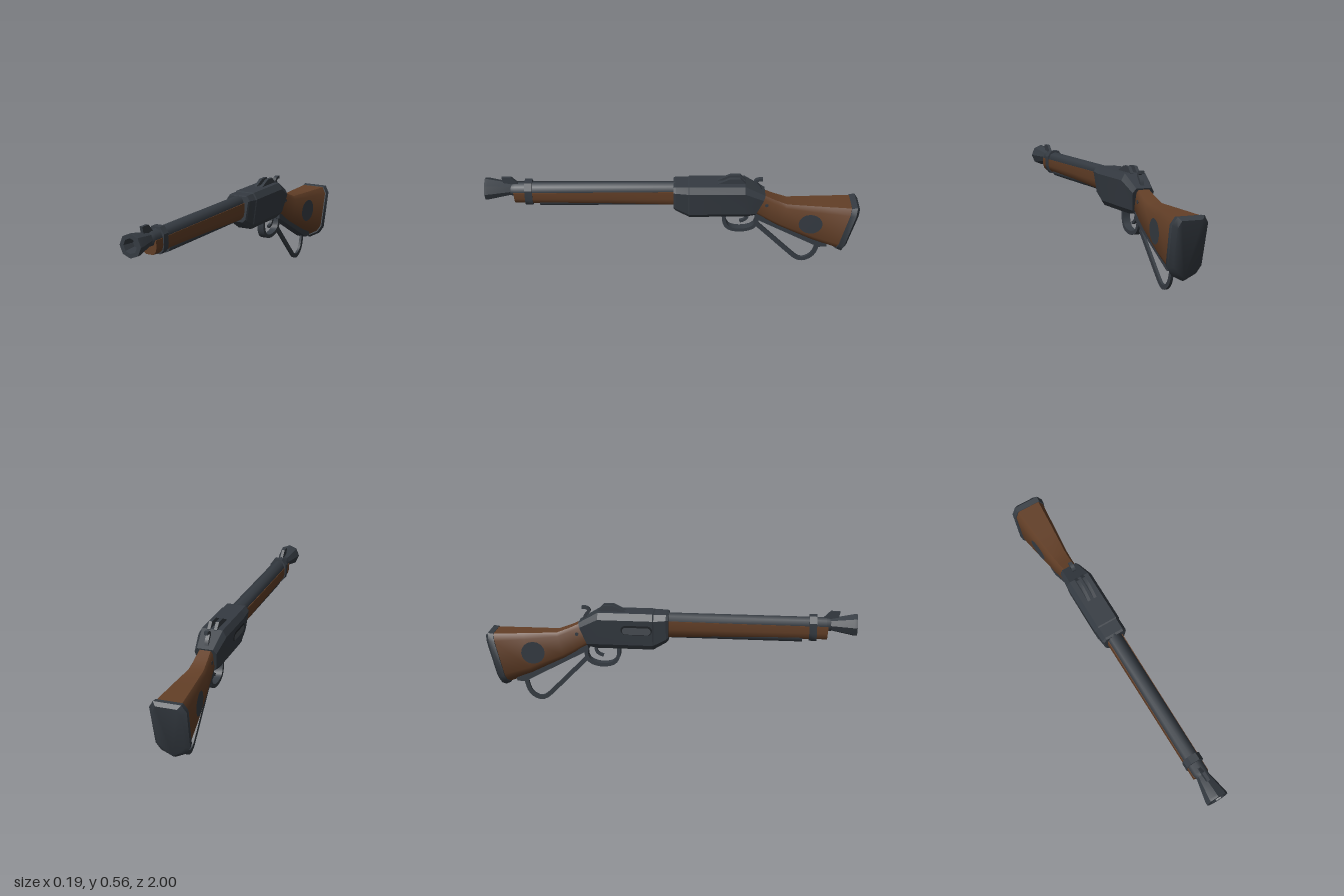
import * as THREE from 'three';
import { toCreasedNormals } from 'three/addons/utils/BufferGeometryUtils.js';

const paint = (name, color) => Object.assign(new THREE.MeshStandardMaterial({ color }), { name });

export function createModel() {
  const model = new THREE.Group();
  model.name = 'leverActionCarbine';
  const metal = paint('gunmetal', 0x353b42);
  const wood = paint('walnut', 0x633f27);
  const steel = paint('boltSteel', 0x4b5157);
  const dark = paint('darkRecess', 0x22262a);

  function add(name, geometry, material, crease = 0.6) {
    const mesh = new THREE.Mesh(toCreasedNormals(geometry, crease), material);
    mesh.name = name;
    model.add(mesh);
    return mesh;
  }

  // Skin mirrored cross-sections, from front to back.
  // profile: [x, t] from bottom to top; station: [zTop, yTop, zBottom, yBottom, xScale]
  function loft(profile, stations) {
    const ring = [...profile, ...profile.map(([x, t]) => [-x, t]).reverse()];
    const n = ring.length, pos = [], index = [];
    for (const [zt, yt, zb, yb, w] of stations) {
      for (const [x, t] of ring) pos.push(x * w, yb + (yt - yb) * t, zb + (zt - zb) * t);
    }
    for (let i = 0; i < stations.length - 1; i++) {
      for (let j = 0; j < n; j++) {
        const a = i * n + j, b = i * n + (j + 1) % n;
        index.push(a, a + n, b, b, a + n, b + n);
      }
    }
    const last = (stations.length - 1) * n;
    for (let j = 1; j < n - 1; j++) {
      index.push(0, j, j + 1, last, last + j + 1, last + j);
    }
    const g = new THREE.BufferGeometry();
    g.setAttribute('position', new THREE.Float32BufferAttribute(pos, 3));
    g.setIndex(index);
    return g;
  }

  // Turned part along z; points are [radius, z]
  function turned(points, y, sides = 8) {
    return new THREE.LatheGeometry(points.map(([r, z]) => new THREE.Vector2(r, z)), sides)
      .rotateX(Math.PI / 2).translate(0, y, 0);
  }

  // Side outline in [z, y], given a thickness across x
  function plate(points, width, x = 0) {
    const shape = new THREE.Shape(points.map(([z, y]) => new THREE.Vector2(z, y)));
    return new THREE.ExtrudeGeometry(shape, { depth: width, bevelEnabled: false })
      .rotateY(-Math.PI / 2).translate(x + width / 2, 0, 0);
  }

  // Bent strap following a curve in the side plane
  function strap(points, thickness, width) {
    const curve = new THREE.SplineCurve(points.map(([z, y]) => new THREE.Vector2(z, y)));
    const upper = [], lower = [];
    for (let i = 0; i <= 20; i++) {
      const p = curve.getPoint(i / 20), d = curve.getTangent(i / 20);
      const ox = -d.y * thickness / 2, oy = d.x * thickness / 2;
      upper.push([p.x + ox, p.y + oy]);
      lower.unshift([p.x - ox, p.y - oy]);
    }
    return plate([...upper, ...lower], width);
  }

  // Flat inlay laid on a side wall whose half width is xOf(z, y)
  function inlay(g, side, z0, y0, xOf) {
    const p = g.attributes.position;
    for (let i = 0; i < p.count; i++) {
      const z = z0 - side * p.getX(i), y = y0 + p.getY(i);
      p.setXYZ(i, side * xOf(z, y), y, z);
    }
    return g;
  }

  // Barrel with flared, hollow muzzle
  add('barrel', turned([[0.04, -0.02], [0.04, 0.84], [0.034, 0.87]], 0.492), metal, 0.9);
  add('muzzle', turned([[0.034, 0.86], [0.06, 0.985], [0.06, 1], [0.038, 1], [0.026, 0.94], [0, 0.94]], 0.494), metal, 0.5);
  add('magazineTube', turned([[0, -0.02], [0.03, -0.02], [0.03, 0.715], [0, 0.715]], 0.421), metal, 0.9);

  // Fore-end and its band
  add('foreStock', loft([[0.5, 0], [0.85, 0.2], [1, 0.5], [1, 1]], [
    [0.85, 0.49, 0.845, 0.415, 0.042], [0.35, 0.492, 0.35, 0.408, 0.043], [-0.02, 0.494, -0.02, 0.4, 0.044],
  ]), wood);
  add('barrelBand', loft([[0.5, 0], [0.9, 0.15], [1, 0.35], [1, 0.75], [0.5, 1]], [
    [0.79, 0.54, 0.79, 0.405, 0.047], [0.75, 0.54, 0.75, 0.405, 0.047],
  ]), metal);
  add('frontSight', plate([[0.91, 0.566], [0.86, 0.566], [0.82, 0.525], [0.82, 0.5], [0.895, 0.5]], 0.016), metal);

  // Receiver with a slightly narrower front collar
  add('receiver', loft([[0.038, 0], [0.056, 0.13], [0.075, 0.83], [0.055, 1]], [
    [0, 0.528, 0, 0.385, 0.88], [-0.012, 0.532, -0.012, 0.372, 0.94], [-0.078, 0.532, -0.078, 0.332, 0.95],
    [-0.085, 0.535, -0.085, 0.33, 1], [-0.38, 0.535, -0.385, 0.33, 1], [-0.49, 0.47, -0.44, 0.335, 0.78],
  ]), metal, 0.25);

  // Ejection port on the right side
  const wall = (z, y) => 0.056 + 0.019 * ((y - 0.33) / 0.205 - 0.13) / 0.7;
  function slot(length, r) {
    const s = new THREE.Shape(), h = length / 2 - r;
    s.absarc(h, 0, r, -Math.PI / 2, Math.PI / 2, false);
    s.absarc(-h, 0, r, Math.PI / 2, Math.PI * 1.5, false);
    return new THREE.ShapeGeometry(s, 6);
  }
  add('ejectionPort', inlay(slot(0.17, 0.027), -1, -0.17, 0.445, (z, y) => wall(z, y) + 0.002), dark);
  add('bolt', inlay(slot(0.155, 0.02), -1, -0.17, 0.441, (z, y) => wall(z, y) + 0.004), steel);

  // Rear sight wings and hammer
  for (const side of [-1, 1]) {
    add(side > 0 ? 'rearSightLeft' : 'rearSightRight', plate(
      [[-0.385, 0.52], [-0.385, 0.535], [-0.355, 0.566], [-0.3, 0.566], [-0.235, 0.535], [-0.235, 0.52]], 0.017, side * 0.018), metal);
  }
  add('hammer', strap([[-0.47, 0.45], [-0.457, 0.5], [-0.435, 0.53], [-0.45, 0.546], [-0.475, 0.547]], 0.016, 0.02), metal);

  // Trigger, guard and long lever loop
  add('trigger', strap([[-0.4, 0.34], [-0.4, 0.305], [-0.385, 0.285], [-0.36, 0.275]], 0.015, 0.016), metal);
  add('triggerGuard', strap([[-0.275, 0.34], [-0.275, 0.285], [-0.3, 0.24], [-0.36, 0.225], [-0.42, 0.237],
    [-0.45, 0.27], [-0.455, 0.335]], 0.02, 0.04), metal);
  add('lever', strap([[-0.445, 0.265], [-0.55, 0.158], [-0.64, 0.066], [-0.69, 0.021], [-0.735, 0.017],
    [-0.78, 0.055], [-0.803, 0.14]], 0.024, 0.014), metal);

  // Shoulder stock, underside strap and butt plate
  const stockProfile = [[0.05, 0], [0.69, 0.1], [0.94, 0.22], [1, 0.88], [0.75, 1]];
  add('stock', loft(stockProfile, [
    [-0.46, 0.475, -0.43, 0.335, 0.036], [-0.545, 0.435, -0.51, 0.285, 0.044], [-0.61, 0.41, -0.57, 0.25, 0.05],
    [-0.785, 0.405, -0.755, 0.157, 0.0687], [-0.96, 0.4, -0.89, 0.105, 0.085],
  ]), wood, 0.7);
  add('stockStrap', plate([[-0.44, 0.345], [-0.44, 0.31], [-0.8, 0.115], [-0.845, 0.118], [-0.845, 0.135],
    [-0.78, 0.165]], 0.06), metal);
  add('buttPlate', loft(stockProfile, [
    [-0.955, 0.402, -0.885, 0.1, 0.091], [-0.985, 0.405, -0.913, 0.086, 0.094], [-1, 0.387, -0.93, 0.1, 0.072],
  ]), metal, 0.7);

  // Round inlays and the tang pin
  const cheek = (z, y) => (0.05 - 0.104 * (z + 0.59)) * (0.94 + 0.09 * ((y - 0.155) / 0.25 - 0.22)) + 0.003;
  for (const side of [-1, 1]) {
    add(side > 0 ? 'stockDiscLeft' : 'stockDiscRight',
      inlay(new THREE.CircleGeometry(0.064, 16), side, -0.74, 0.298, cheek), metal);
  }
  add('tangPin', new THREE.CylinderGeometry(0.01, 0.01, 0.084, 8).rotateZ(Math.PI / 2).translate(0, 0.405, -0.5), metal);

  return model;
}
